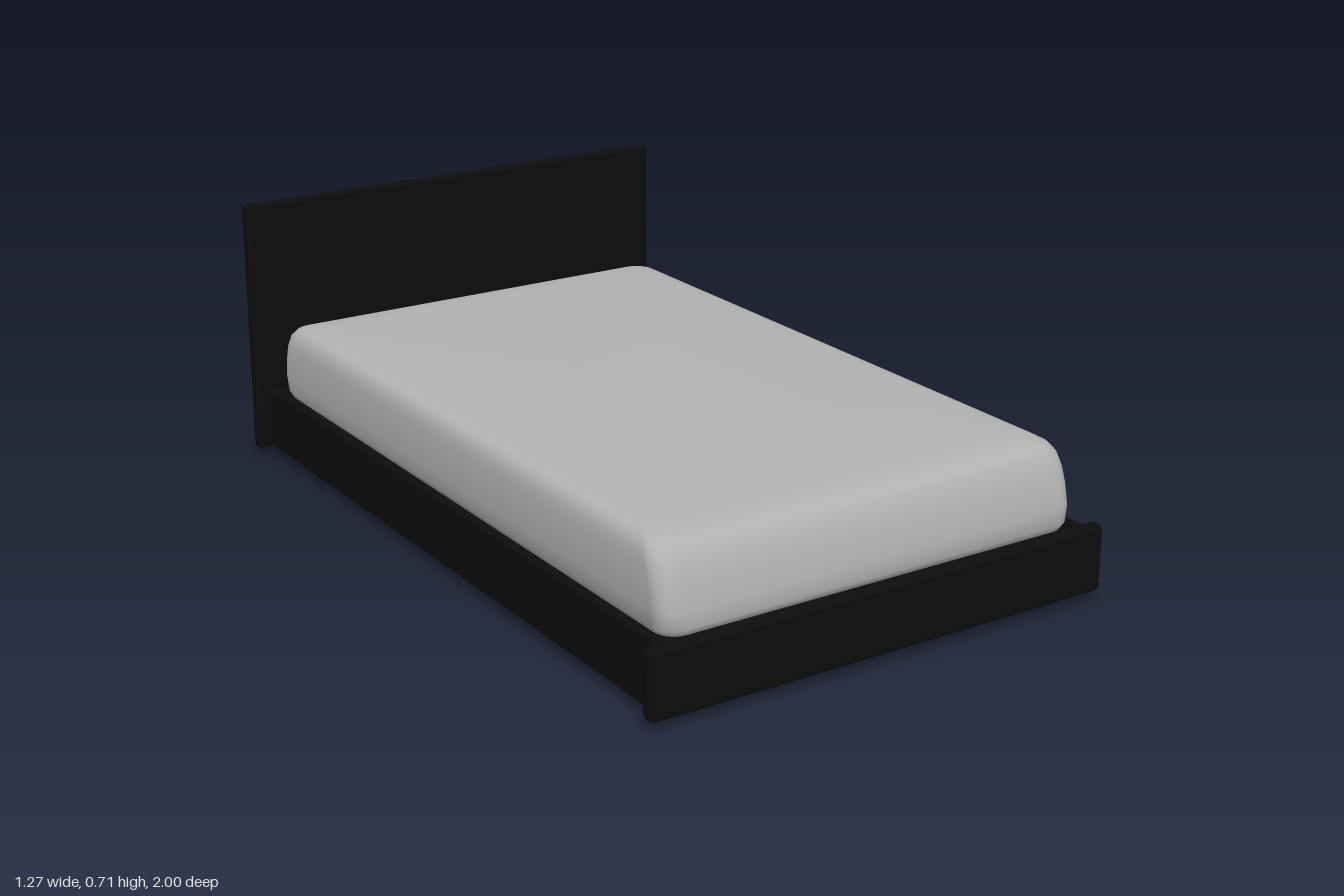
import * as THREE from 'three';
import { RoundedBoxGeometry } from 'three/addons/geometries/RoundedBoxGeometry.js';

const black = new THREE.MeshStandardMaterial({ color: 0x0d0d0d });
black.name = 'blackFrame';
const grey = new THREE.MeshStandardMaterial({ color: 0xb2b2b0 });
grey.name = 'greyFabric';

// Mattress: rounded-rectangle rings stacked from the base to the slightly domed top
function mattressGeometry() {
  const cx = 0.008, perCorner = 8;
  // [y, half width, front z, back z, corner radius]
  const rings = [
    [0.18, 0.565, 0.94, -0.93, 0.05],
    [0.2, 0.575, 0.95, -0.94, 0.05],
    [0.24, 0.58, 0.949, -0.94, 0.05],
    [0.29, 0.58, 0.938, -0.936, 0.05],
    [0.33, 0.578, 0.925, -0.928, 0.05],
    [0.36, 0.573, 0.91, -0.916, 0.05],
    [0.378, 0.562, 0.893, -0.9, 0.05],
    [0.388, 0.545, 0.865, -0.87, 0.05],
    [0.394, 0.51, 0.8, -0.8, 0.05],
    [0.399, 0.4, 0.6, -0.55, 0.05],
    [0.403, 0.2, 0.45, -0.2, 0.05],
  ];
  const pos = [], idx = [];
  for (const [y, hx, zf, zb, r] of rings) {
    for (let c = 0; c < 4; c++) {
      const right = c === 0 || c === 3, front = c < 2;
      const x0 = cx + (right ? hx - r : r - hx);
      const z0 = front ? zf - r : zb + r;
      for (let i = 0; i < perCorner; i++) {
        const a = (c + i / (perCorner - 1)) * Math.PI / 2;
        pos.push(x0 + r * Math.cos(a), y, z0 + r * Math.sin(a));
      }
    }
  }
  const n = perCorner * 4;
  for (let k = 0; k < rings.length - 1; k++) {
    for (let i = 0; i < n; i++) {
      const a = k * n + i, b = k * n + (i + 1) % n;
      idx.push(a, a + n, b, b, a + n, b + n);
    }
  }
  // Close the top and the underside with centre points
  const top = pos.length / 3, last = (rings.length - 1) * n;
  pos.push(cx, 0.404, 0.12, cx, 0.18, 0);
  for (let i = 0; i < n; i++) {
    const j = (i + 1) % n;
    idx.push(last + i, top, last + j, i, j, top + 1);
  }
  const g = new THREE.BufferGeometry();
  g.setAttribute('position', new THREE.Float32BufferAttribute(pos, 3));
  g.setIndex(idx);
  g.computeVertexNormals();
  return g;
}

export function createModel() {
  const bed = new THREE.Group();
  bed.name = 'bed';
  const add = (name, geometry, material, x, y, z) => {
    const mesh = new THREE.Mesh(geometry, material);
    mesh.name = name;
    mesh.position.set(x, y, z);
    bed.add(mesh);
  };

  // Head and foot panels, wider than the base
  add('headboard', new RoundedBoxGeometry(1.27, 0.685, 0.032, 3, 0.007), black, 0, 0.3675, -0.984);
  add('footboard', new RoundedBoxGeometry(1.27, 0.17, 0.042, 4, 0.014), black, 0, 0.113, 0.979);

  // Platform and side rails
  add('platform', new THREE.BoxGeometry(1.18, 0.148, 1.94), black, 0, 0.109, -0.005);
  for (const s of [-1, 1]) {
    add(s > 0 ? 'leftRail' : 'rightRail',
      new THREE.BoxGeometry(0.025, 0.16, 1.94), black, s * 0.5875, 0.113, -0.005);
  }

  // Short tapered feet
  const foot = new THREE.LatheGeometry(
    [[0, 0], [0.024, 0], [0.031, 0.005], [0.036, 0.025], [0.039, 0.04]]
      .map(([r, y]) => new THREE.Vector2(r, y)), 20);
  for (const x of [-0.477, 0.48]) {
    for (const z of [-0.863, 0.853]) add('foot', foot, black, x, 0, z);
  }

  add('mattress', mattressGeometry(), grey, 0, 0, 0);
  return bed;
}
